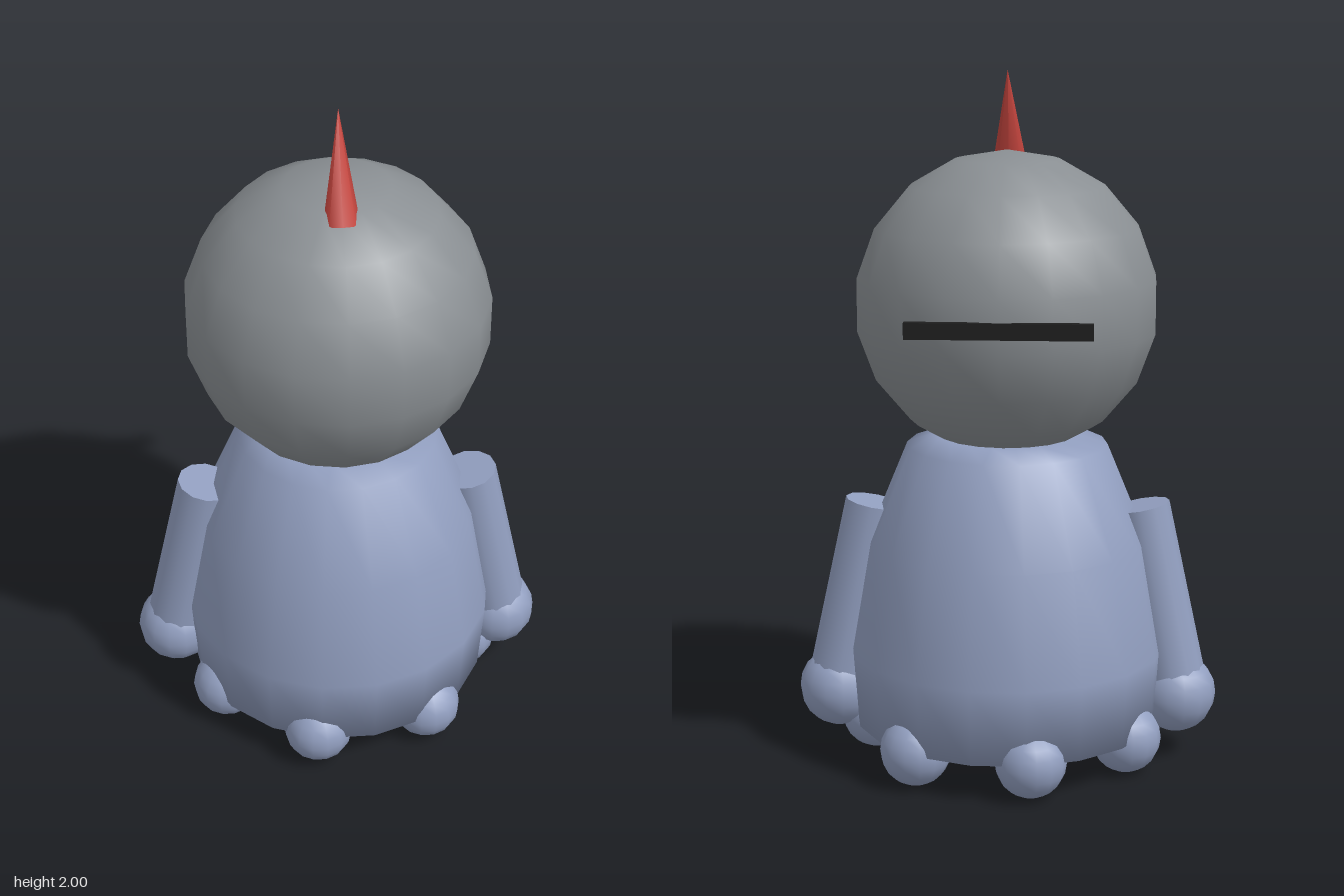
import * as THREE from 'three';

const paint = (name, color) => {
  const m = new THREE.MeshStandardMaterial({ color });
  m.name = name;
  return m;
};

export function createModel() {
  const model = new THREE.Group();
  model.name = 'creature';
  const blue = paint('dusty blue', 0x929fc0);
  const grey = paint('grey', 0x8a8f93);
  const red = paint('red', 0xc4453e);
  const black = paint('black', 0x1e1e1e);

  const add = (name, geometry, material, x = 0, y = 0, z = 0) => {
    const mesh = new THREE.Mesh(geometry, material);
    mesh.name = name;
    mesh.position.set(x, y, z);
    model.add(mesh);
    return mesh;
  };

  // Rounded bell-shaped body, closed at both ends
  const profile = [[0, 0.11], [0.447, 0.11], [0.462, 0.33], [0.405, 0.65], [0.29, 0.93], [0.2, 0.96], [0, 0.965]];
  const body = new THREE.LatheGeometry(profile.map(([r, y]) => new THREE.Vector2(r, y)), 18);
  add('body', body.rotateY(Math.PI / 2), blue);

  // Head
  add('head', new THREE.SphereGeometry(0.435, 18, 9).rotateY(Math.PI / 2), grey, 0, 1.34, 0);

  // Horn leaning backwards
  const horn = add('horn', new THREE.ConeGeometry(0.05, 0.306, 8), red, 0, 1.855, 0.081);
  horn.rotation.x = -0.41;

  // Straight bar across the back of the head
  add('bar', new THREE.BoxGeometry(0.508, 0.045, 0.024), black, 0, 1.332, -0.424);

  // Arms with round hands
  const up = new THREE.Vector3(0, 1, 0);
  for (const [side, s] of [['left', 1], ['right', -1]]) {
    const top = new THREE.Vector3(s * 0.387, 0.75, -0.002);
    const end = new THREE.Vector3(s * 0.497, 0.19, -0.017);
    const dir = top.clone().sub(end);
    const arm = add(side + 'Arm', new THREE.CylinderGeometry(0.085, 0.096, dir.length(), 12), blue);
    arm.position.copy(top).add(end).multiplyScalar(0.5);
    arm.quaternion.setFromUnitVectors(up, dir.normalize());
    add(side + 'Hand', new THREE.SphereGeometry(0.117, 14, 10), blue, end.x, end.y, end.z);
  }

  // Ring of seven feet
  const foot = new THREE.SphereGeometry(0.102, 14, 10);
  for (let i = 0; i < 7; i++) {
    const a = (i * 2 * Math.PI) / 7;
    add('foot' + (i + 1), foot, blue, 0.39 * Math.cos(a), 0.102, 0.39 * Math.sin(a));
  }
  return model;
}
